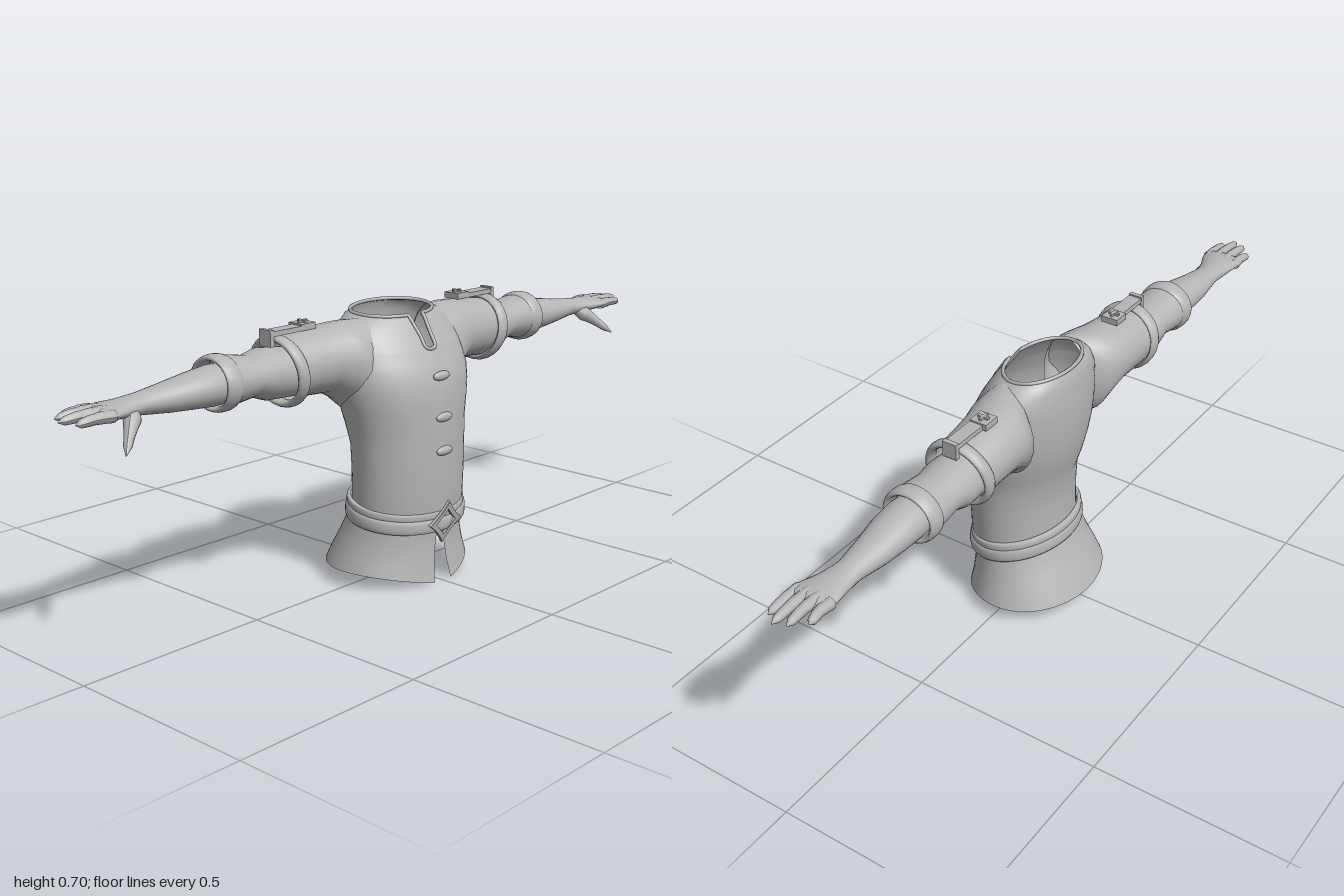
import * as THREE from 'three';

const cloth = new THREE.MeshStandardMaterial({ color: 0xb4b4b4, side: THREE.DoubleSide });
cloth.name = 'plain grey';

function part(name, geometry) {
  const mesh = new THREE.Mesh(geometry, cloth);
  mesh.name = name;
  return mesh;
}

// Skin a list of rings that all have the same number of points
function skin(rings, closed) {
  const n = rings[0].length, index = [];
  for (let i = 0; i < rings.length - 1; i++) {
    for (let j = 0; j < (closed ? n : n - 1); j++) {
      const a = i * n + j, b = i * n + (j + 1) % n;
      index.push(a, b, a + n, b, b + n, a + n);
    }
  }
  const g = new THREE.BufferGeometry().setFromPoints(rings.flat());
  g.setIndex(index);
  g.computeVertexNormals();
  return g;
}

// Ring around the body; tilt raises the back, gap opens the front, droop lowers the front middle
function bodyRing(y, zF, zB, w, { tilt = 0, gap = 0, droop = 0, closed = false } = {}) {
  const n = 56, start = Math.asin(gap / w), ring = [];
  for (let j = 0; j < (closed ? n : n + 1); j++) {
    const t = start + (j / n) * 2 * (Math.PI - start);
    const c = Math.cos(t), s = Math.sin(t);
    const drop = c > 0 ? droop * (1 - Math.abs(s)) : 0;
    ring.push(new THREE.Vector3(w * s, y - c * tilt - drop, (zF + zB) / 2 + c * (zF - zB) / 2));
  }
  return ring;
}

// Sideways ring: x, centre y, height radius, centre z, depth radius
function armRing([x, y, ry, z, rz], lean = 0) {
  return Array.from({ length: 28 }, (_, j) => {
    const t = j / 28 * 2 * Math.PI, c = Math.cos(t);
    return new THREE.Vector3(x + lean * c, y + ry * c, z + rz * Math.sin(t));
  });
}
const sleeve = rows => skin(rows.map(r => armRing(r)), true);

// Rolled cuff: a flattened ring around the arm
function cuff([x, y, ry, z, rz], width, thick, lean) {
  const rings = [];
  for (let k = 0; k <= 12; k++) {
    const a = k / 12 * 2 * Math.PI, d = thick * Math.sin(a);
    rings.push(armRing([x - Math.cos(a) * width / 2, y, ry + d, z, rz + d], lean));
  }
  return skin(rings, true);
}

// Tube along a path whose radius follows a list
function tapered(points, radii, steps = 16, sides = 10) {
  const path = new THREE.CatmullRomCurve3(points.map(p => new THREE.Vector3(...p)));
  const g = new THREE.TubeGeometry(path, steps, 1, sides);
  const pos = g.attributes.position, v = new THREE.Vector3();
  for (let i = 0; i < pos.count; i++) {
    const u = Math.floor(i / (sides + 1)) / steps, f = u * (radii.length - 1);
    const k = Math.min(Math.floor(f), radii.length - 2);
    const c = path.getPointAt(u);
    v.fromBufferAttribute(pos, i).sub(c).multiplyScalar(THREE.MathUtils.lerp(radii[k], radii[k + 1], f - k)).add(c);
    pos.setXYZ(i, v.x, v.y, v.z);
  }
  g.computeVertexNormals();
  return g;
}

const box = (w, h, d, x, y, z) => new THREE.BoxGeometry(w, h, d).translate(x, y, z);

// Arm on the +x side
function createArm(add) {
  add('sleeve', sleeve([
    [0.13, 0.575, 0.115, -0.005, 0.065], [0.17, 0.577, 0.112, -0.021, 0.091], [0.2, 0.591, 0.096, -0.03, 0.092],
    [0.24, 0.6, 0.083, -0.039, 0.087], [0.3, 0.599, 0.079, -0.043, 0.083], [0.37, 0.592, 0.078, -0.043, 0.079]]));
  add('sleeveCuff', cuff([0.369, 0.592, 0.081, -0.042, 0.083], 0.036, 0.009, 0.012));
  add('innerSleeve', sleeve([
    [0.33, 0.585, 0.06, -0.045, 0.065], [0.42, 0.592, 0.063, -0.049, 0.069], [0.465, 0.595, 0.049, -0.048, 0.064],
    [0.52, 0.596, 0.058, -0.05, 0.067], [0.55, 0.594, 0.061, -0.051, 0.068]]));
  add('innerCuff', cuff([0.556, 0.594, 0.06, -0.051, 0.065], 0.048, 0.008, 0));
  add('forearmAndPalm', sleeve([
    [0.5, 0.593, 0.045, -0.051, 0.049], [0.58, 0.592, 0.048, -0.049, 0.055], [0.64, 0.59, 0.042, -0.05, 0.053],
    [0.7, 0.587, 0.035, -0.053, 0.045], [0.78, 0.586, 0.025, -0.054, 0.033], [0.83, 0.586, 0.021, -0.051, 0.041],
    [0.87, 0.588, 0.018, -0.047, 0.053], [0.9, 0.589, 0.015, -0.046, 0.055], [0.92, 0.589, 0.003, -0.045, 0.035]]));
  add('thumb', tapered([[0.805, 0.578, -0.035], [0.835, 0.556, -0.008], [0.886, 0.508, 0.038]],
    [0.012, 0.021, 0.016, 0.012, 0.01, 0.001]));

  // Four fingers, the middle two slightly higher
  [0.978, 1, 0.988, 0.955].forEach((tip, i) => {
    const y = i % 3 ? 0.592 : 0.587, z = -0.005 - 0.028 * i;
    add('finger' + (i + 1), tapered([[0.88, y, z], [(0.88 + tip) / 2, y + 0.002, z], [tip, y - 0.002, z - 0.002 * i]],
      [0.014, 0.0145, 0.0135, 0.0135, 0.012, 0.012, 0.011, 0.0095, 0.001]));
  });

  // Shoulder strap with its turned-down end and cross button
  add('shoulderStrap', box(0.135, 0.012, 0.036, 0.335, 0.686, -0.045));
  add('strapEnd', box(0.012, 0.04, 0.038, 0.405, 0.676, -0.045));
  add('strapPlate', box(0.045, 0.016, 0.046, 0.285, 0.688, -0.05));
  add('strapButton', box(0.028, 0.008, 0.007, 0.285, 0.698, -0.05));
  add('strapButtonBar', box(0.007, 0.008, 0.028, 0.285, 0.698, -0.05));
}

function mirrored(geometry) {
  const g = geometry.clone().scale(-1, 1, 1);
  const a = g.index.array;
  for (let i = 0; i < a.length; i += 3) [a[i], a[i + 1]] = [a[i + 1], a[i]];
  return g;
}

// Tunic body, open at the neck with a slit at the throat: height, front z, back z, half width
function createTunic(model) {
  const slitFoot = 0.613;
  const rings = [
    [0.19, 0.15, -0.09, 0.163], [0.232, 0.154, -0.088, 0.164], [0.3, 0.156, -0.087, 0.166],
    [0.37, 0.156, -0.09, 0.168], [0.42, 0.155, -0.106, 0.174], [0.47, 0.153, -0.116, 0.188],
    [0.51, 0.149, -0.121, 0.198], [0.55, 0.141, -0.123, 0.202], [0.58, 0.126, -0.123, 0.2],
    [0.61, 0.111, -0.122, 0.196], [slitFoot, 0.109, -0.122, 0.195], [0.641, 0.092, -0.12, 0.188],
    [0.668, 0.076, -0.117, 0.168], [0.686, 0.066, -0.112, 0.145], [0.696, 0.058, -0.105, 0.122],
  ].map(([y, zF, zB, w]) => bodyRing(y, zF, zB, w, {
    tilt: 0.11 * Math.max(0, 0.37 - y) + 0.13 * Math.max(0, y - 0.64),
    gap: y < slitFoot ? 0 : 0.016 + 0.13 * (y - slitFoot),
  }));
  model.add(part('tunic', skin(rings, false)));

  // Trim around neck hole and throat slit
  const side = rings.slice(10, 14).map(r => r[0]);
  const otherSide = side.map(p => new THREE.Vector3(-p.x, p.y, p.z)).reverse();
  const trim = new THREE.CatmullRomCurve3([...side, ...rings[14], ...otherSide], true, 'centripetal');
  model.add(part('neckTrim', new THREE.TubeGeometry(trim, 160, 0.005, 6, true)));
}

// Flared skirt, split at the front
function createSkirt() {
  return part('skirt', skin([
    [0.052, 0.155, -0.17, 0.203], [0.084, 0.147, -0.153, 0.191], [0.122, 0.142, -0.129, 0.178],
    [0.168, 0.142, -0.104, 0.165], [0.208, 0.145, -0.092, 0.162],
  ].map(([y, zF, zB, w], i) => bodyRing(y, zF, zB, w, {
    tilt: 0.006 * i - 0.003, gap: 0.031 - 0.0075 * i, droop: Math.max(0, 0.05 - 0.025 * i),
  })), false));
}

// Tilted belt band, rounded on its outer face
function beltBand(name, y, height, out) {
  const rings = [];
  for (let k = 0; k <= 8; k++) {
    const a = k / 8 * Math.PI, puff = out * Math.pow(Math.sin(a), 0.3);
    const h = -Math.cos(a) * height / 2;
    rings.push(bodyRing(y + h, 0.145 + puff, -0.094 - puff + 0.1 * h, 0.162 + puff, { tilt: 0.0205, closed: true }));
  }
  return part(name, skin(rings, true));
}

// Diamond buckle with curved-in sides
function createBuckle() {
  const star = (path, r, k) => {
    path.moveTo(0, r);
    for (let i = 1; i <= 4; i++) {
      const a = i * Math.PI / 2, m = Math.PI / 4 - a;
      path.quadraticCurveTo(Math.cos(m + Math.PI / 2) * r * k, Math.sin(m + Math.PI / 2) * r * k, Math.sin(a) * r, Math.cos(a) * r);
    }
    return path;
  };
  const outline = star(new THREE.Shape(), 0.058, 0.55);
  outline.holes.push(star(new THREE.Path(), 0.036, 0.65));
  const g = new THREE.ExtrudeGeometry(outline, { depth: 0.007, bevelSize: 0.001, bevelThickness: 0.001, bevelSegments: 1 });
  return part('buckle', g.rotateX(0.22).translate(0, 0.173, 0.156));
}

export function createModel() {
  const model = new THREE.Group();
  model.name = 'tunicWithArms';
  createTunic(model);
  model.add(createSkirt(), createBuckle());
  model.add(beltBand('beltBand', 0.186, 0.037, 0.014), beltBand('beltUpperBand', 0.211, 0.022, 0.01));

  // Three flat toggles down the chest
  [[0.546, 0.144], [0.443, 0.154], [0.357, 0.156]].forEach(([y, z], i) => {
    model.add(part('toggle' + (i + 1), new THREE.SphereGeometry(1, 12, 8).scale(0.03, 0.012, 0.009).translate(0, y, z)));
  });

  // Both arms
  const left = new THREE.Group(), right = new THREE.Group();
  left.name = 'leftArm';
  right.name = 'rightArm';
  createArm((name, g) => {
    left.add(part(name, g));
    right.add(part(name, mirrored(g)));
  });
  model.add(left, right);
  return model;
}
